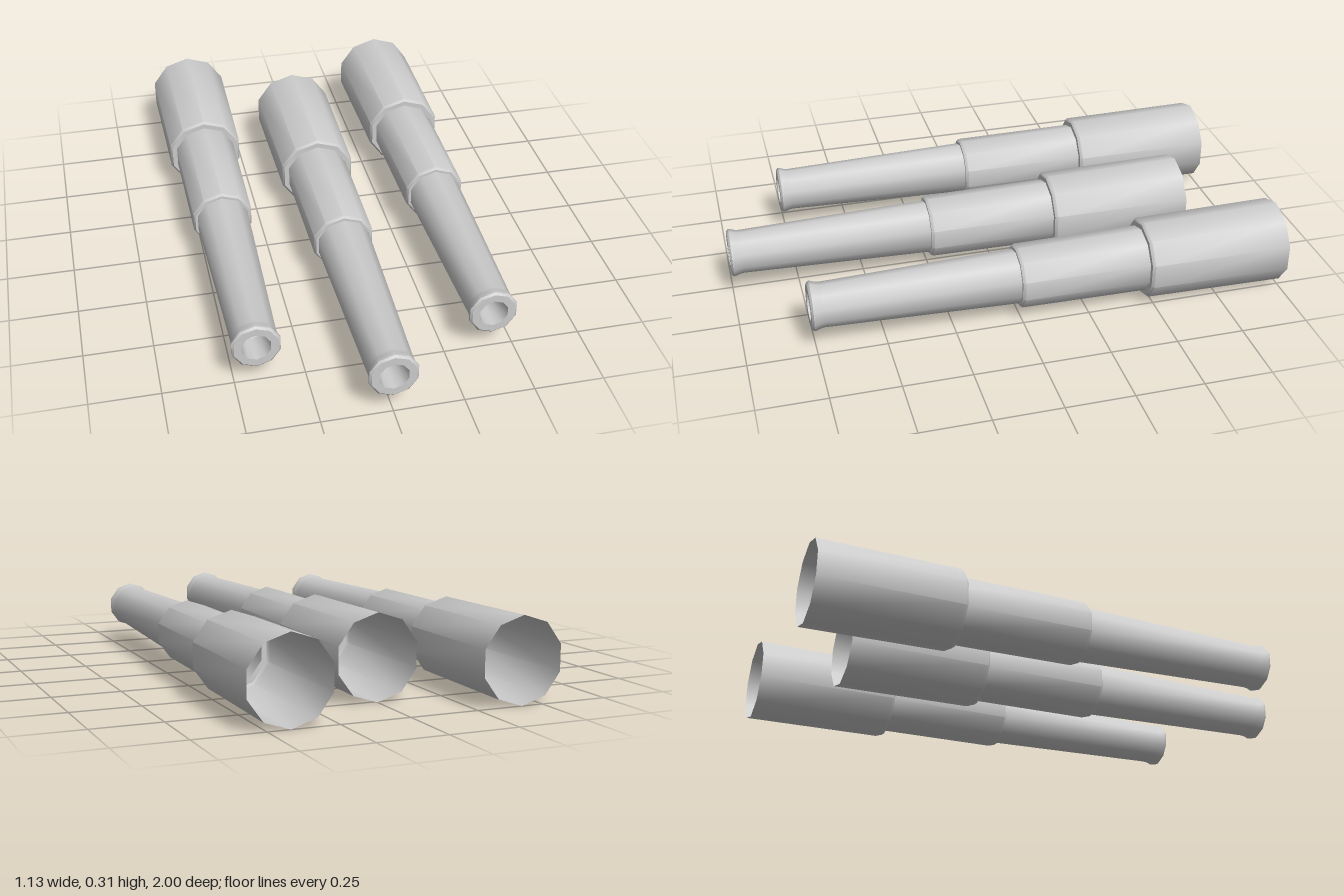
import * as THREE from 'three';
import { toCreasedNormals } from 'three/addons/utils/BufferGeometryUtils.js';

const SIDES = 10;
const AXIS_Y = 0.156;

// [radius, distance from the open rear end], each list turned around the barrel axis
const SECTIONS = {
  breechSleeve: [[0.1545, 0], [0.148, 0.522], [0.14, 0.532], [0.121, 0.532]],
  middleSleeve: [[0.121, 0.532], [0.117, 1.0], [0.11, 1.01], [0.1, 1.01]],
  muzzleTube: [[0.1, 1.01], [0.081, 1.715], [0.083, 1.73], [0.089, 1.748], [0.089, 1.755], [0.081, 1.762], [0.053, 1.762]],
  bore: [[0.053, 1.762], [0.046, 1.66], [0, 1.63]],
};

export function createModel() {
  const model = new THREE.Group();
  model.name = 'gunBarrels';
  const material = new THREE.MeshStandardMaterial({ color: 0xcccccc, side: THREE.DoubleSide });

  // Ten-sided turned parts, smooth around the barrel and sharp at the steps
  const geometries = Object.entries(SECTIONS).map(([name, points]) => {
    const profile = points.map(([r, d]) => new THREE.Vector2(r, d));
    const lathe = new THREE.LatheGeometry(profile, SIDES).rotateX(Math.PI / 2);
    return [name, toCreasedNormals(lathe, 0.7)];
  });

  // Three parallel barrels, the middle one set further forward
  const barrels = [['rightBarrel', -0.42, -1], ['centreBarrel', 0, -0.762], ['leftBarrel', 0.42, -1]];
  for (const [name, x, rear] of barrels) {
    const barrel = new THREE.Group();
    barrel.name = name;
    for (const [part, geometry] of geometries) {
      const mesh = new THREE.Mesh(geometry, material);
      mesh.name = part;
      barrel.add(mesh);
    }
    barrel.position.set(x, AXIS_Y, rear);
    model.add(barrel);
  }
  return model;
}
